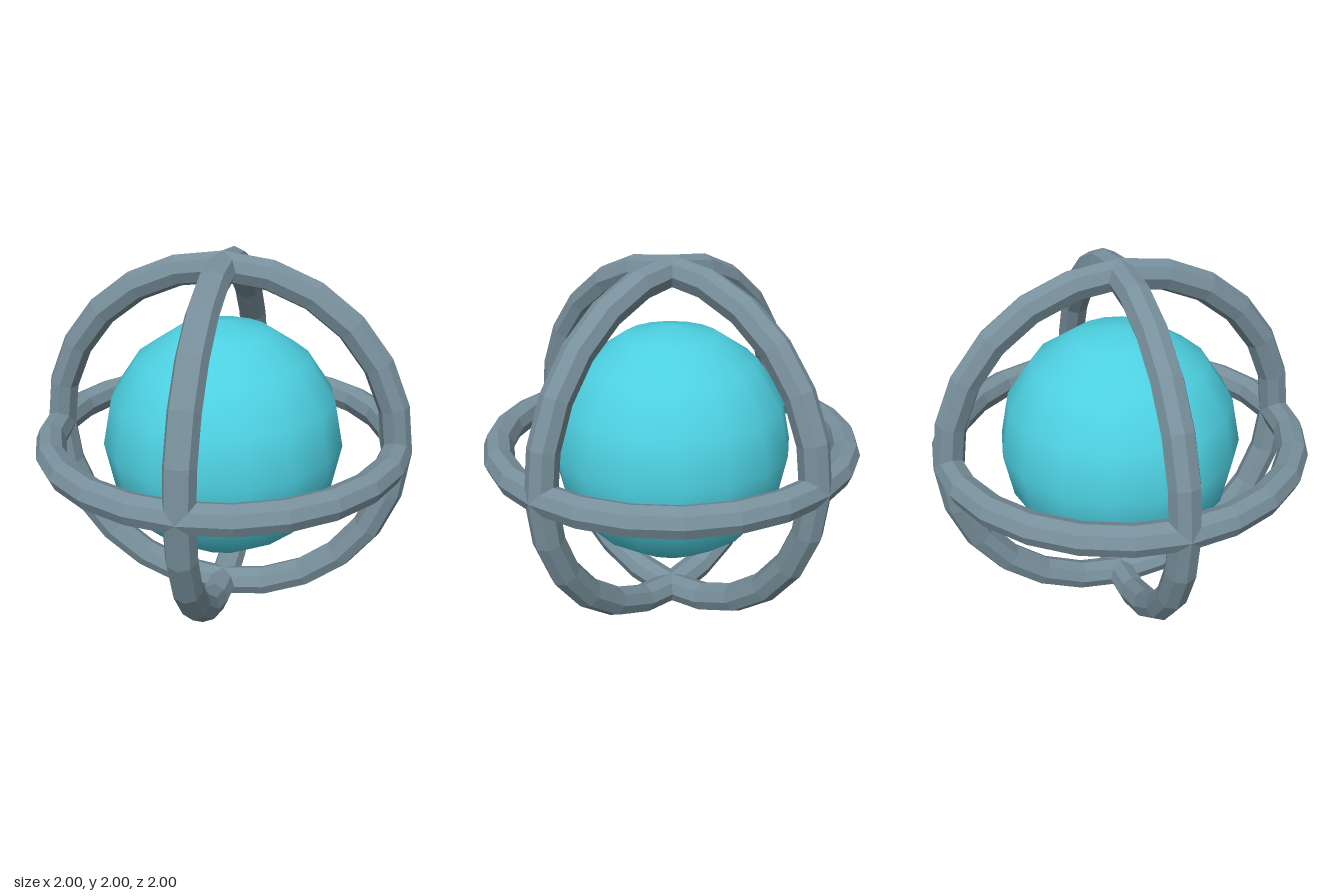
import * as THREE from 'three';

export function createModel() {
  const model = new THREE.Group();
  model.name = 'cagedSphere';

  const ringMaterial = new THREE.MeshStandardMaterial({ color: 0x78909c, flatShading: true });
  const coreMaterial = new THREE.MeshStandardMaterial({ color: 0x4dd0e1 });

  // Smooth-shaded core with a coarse outline
  const core = new THREE.Mesh(new THREE.SphereGeometry(0.64, 16, 8), coreMaterial);
  core.name = 'core';
  core.position.y = 1;
  model.add(core);

  // Three identical eight-sided rings at right angles to each other
  const ringGeometry = new THREE.TorusGeometry(0.92, 0.08, 8, 24);
  const rings = [
    ['frontRing', 0, 0],
    ['sideRing', 0, Math.PI / 2],
    ['horizontalRing', Math.PI / 2, 0],
  ];
  for (const [name, rx, ry] of rings) {
    const ring = new THREE.Mesh(ringGeometry, ringMaterial);
    ring.name = name;
    ring.position.y = 1;
    ring.rotation.set(rx, ry, 0);
    model.add(ring);
  }

  return model;
}
